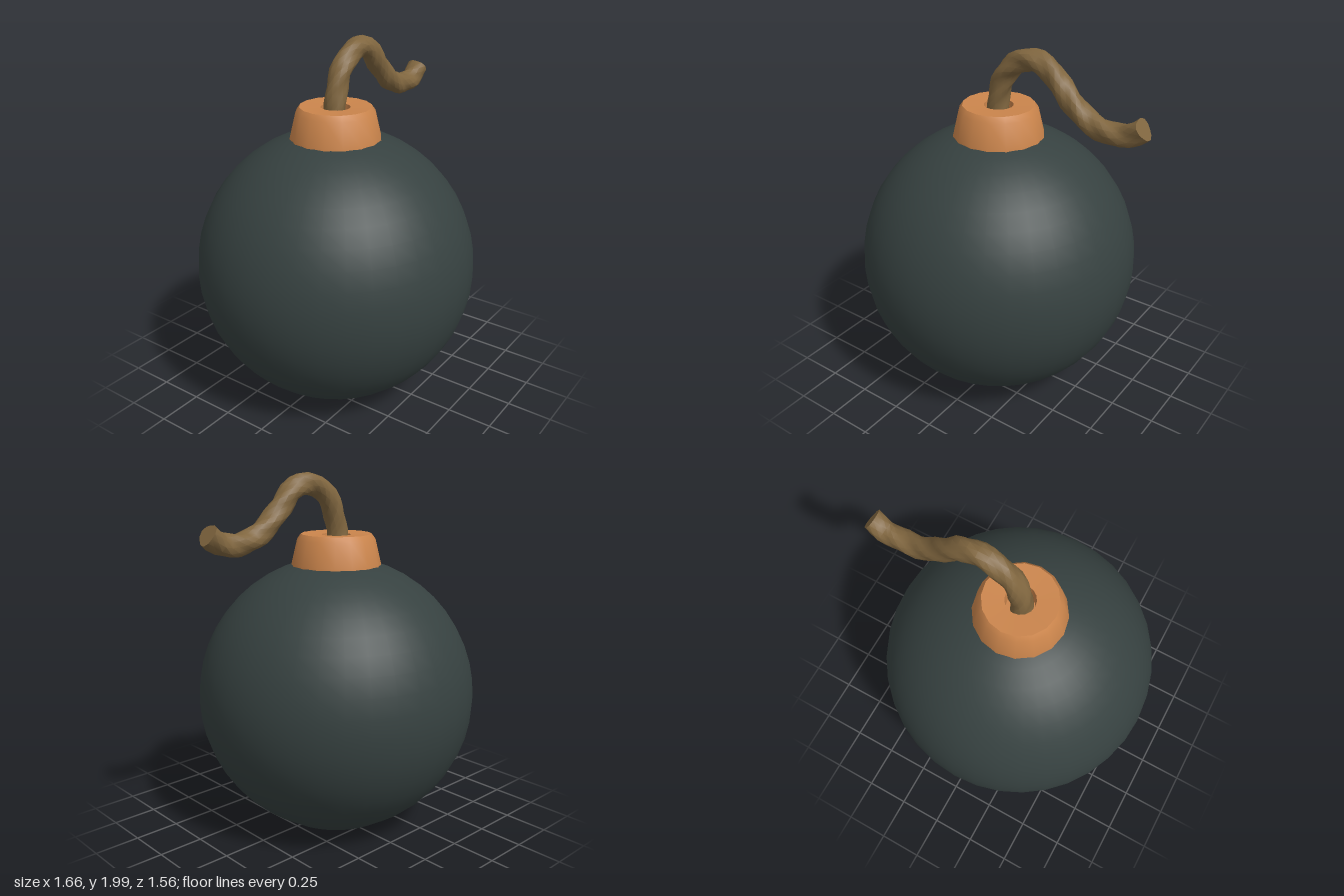
import * as THREE from 'three';
import { toCreasedNormals } from 'three/addons/utils/BufferGeometryUtils.js';

const CENTRE_X = -0.055;
const v2 = ([x, y]) => new THREE.Vector2(x, y);

function material(name, color) {
  const m = new THREE.MeshStandardMaterial({ color });
  m.name = name;
  return m;
}

// Twisted cord: three-lobed cross-sections turning along a planar curve, closed at the tip
function ropeGeometry(path, radius, rings, sides, turns) {
  const curve = new THREE.CatmullRomCurve3(path.map(([x, y]) => new THREE.Vector3(x, y, 0)));
  const pos = [], index = [];
  for (let i = 0; i <= rings; i++) {
    const t = i / rings;
    const c = curve.getPointAt(t), d = curve.getTangentAt(t);
    const twist = t * turns * Math.PI * 2;
    for (let j = 0; j < sides; j++) {
      const a = (j / sides) * Math.PI * 2;
      const r = radius * (1 + 0.09 * Math.cos(3 * a));
      const n = r * Math.cos(a + twist), b = r * Math.sin(a + twist);
      pos.push(c.x - d.y * n, c.y + d.x * n, b);
    }
  }
  for (let i = 0; i < rings; i++) {
    for (let j = 0; j < sides; j++) {
      const k = (j + 1) % sides;
      const a = i * sides + j, b = i * sides + k;
      index.push(a, b, a + sides, b, b + sides, a + sides);
    }
  }
  const tip = curve.getPointAt(1), centre = pos.length / 3;
  pos.push(tip.x, tip.y, tip.z);
  for (let j = 0; j < sides; j++) {
    index.push(centre, rings * sides + j, rings * sides + ((j + 1) % sides));
  }
  const g = new THREE.BufferGeometry();
  g.setAttribute('position', new THREE.Float32BufferAttribute(pos, 3));
  g.setIndex(index);
  return toCreasedNormals(g, 0.5);
}

export function createModel() {
  const model = new THREE.Group();
  const iron = material('dark iron', 0x364140);
  const copper = material('copper', 0xcb854c);
  const cord = material('brown cord', 0x80663f);

  const add = (name, geometry, mat, x = 0) => {
    const mesh = new THREE.Mesh(geometry, mat);
    mesh.name = name;
    mesh.position.x = x;
    model.add(mesh);
  };

  // Round body with a slightly flattened base
  const R = 0.78, CY = 0.75;
  const profile = [[0, 0], [0.16, 0.006], [0.33, 0.036]];
  for (let i = 0; i <= 20; i++) {
    const a = THREE.MathUtils.lerp(-1.06, Math.PI / 2, i / 20);
    profile.push([i === 20 ? 0 : R * Math.cos(a), CY + R * Math.sin(a)]);
  }
  add('body', new THREE.LatheGeometry(profile.map(v2), 36), iron, CENTRE_X);

  // Tapered collar with a bevelled rim and a sunken fuse hole
  const collar = [
    [0.22, 1.46], [0.25, 1.48], [0.247, 1.5], [0.216, 1.63], [0.195, 1.66],
    [0.08, 1.655], [0.075, 1.56], [0, 1.56],
  ];
  add('collar', toCreasedNormals(new THREE.LatheGeometry(collar.map(v2), 16), 0.6), copper, CENTRE_X);

  // Fuse rising from the collar, arching over and curling up at the tip
  const fusePath = [
    [-0.06, 1.55], [-0.055, 1.7], [-0.01, 1.83], [0.07, 1.91], [0.16, 1.938],
    [0.25, 1.91], [0.34, 1.82], [0.43, 1.73], [0.52, 1.675], [0.62, 1.653],
    [0.71, 1.662], [0.79, 1.715],
  ];
  add('fuse', ropeGeometry(fusePath, 0.058, 30, 12, 2.2), cord);

  return model;
}
